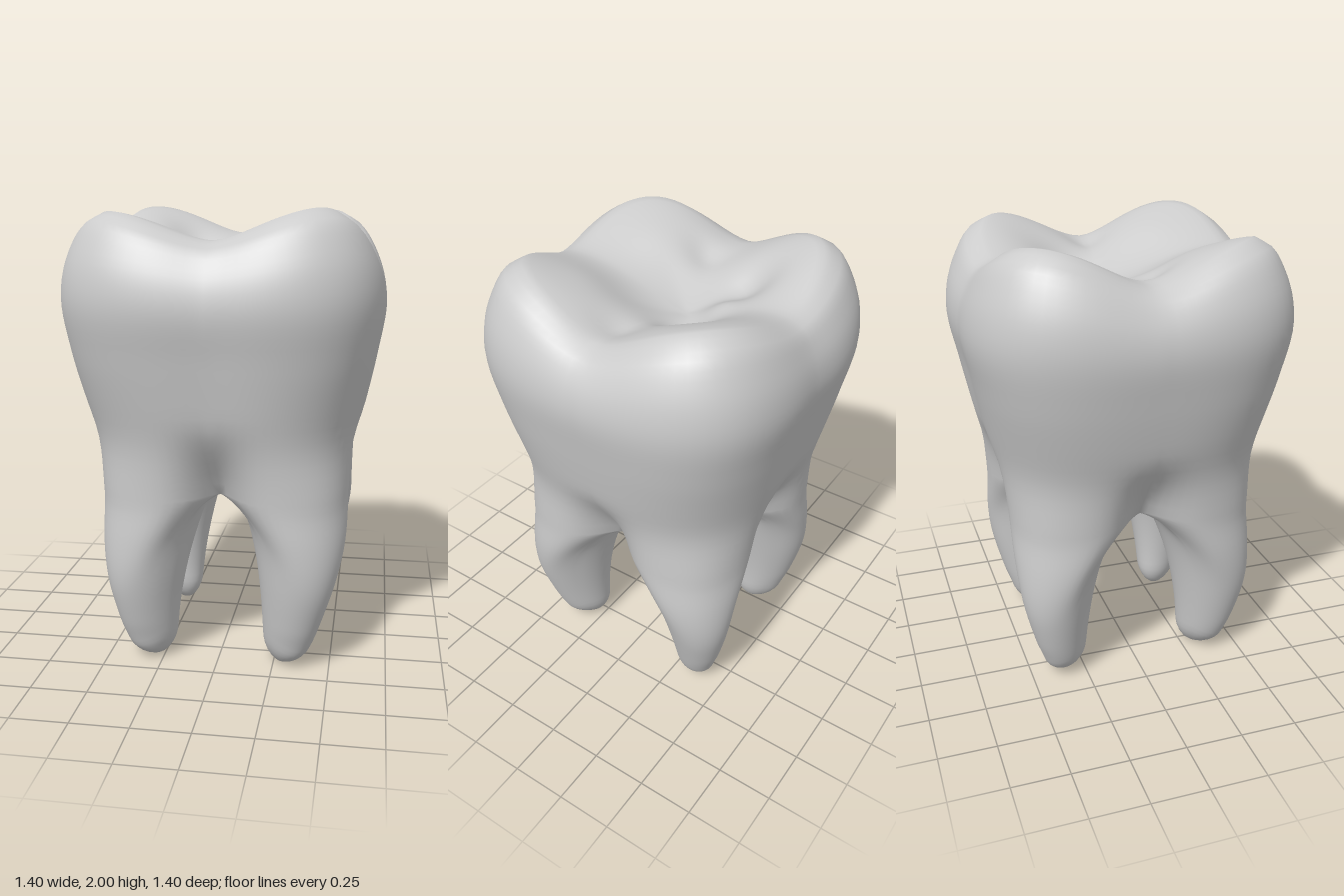
import * as THREE from 'three';
import { mergeVertices } from 'three/addons/utils/BufferGeometryUtils.js';

const { lerp, smoothstep, degToRad } = THREE.MathUtils;
const COLS = 24;      // columns across one quarter of the crown
const FORK = 0.79;    // height where the roots join the crown

// Half widths of the outer wall by height
const WIDTH = [[0, .365], [.1, .415], [.2, .45], [.4, .505], [.6, .545], [.8, .56], [1, .58], [1.2, .63],
  [1.4, .672], [1.6, .7], [1.75, .69], [1.88, .65], [1.96, .6], [2, .535]];
const DEPTH = [[0, .415], [.1, .445], [.2, .48], [.4, .53], [.6, .555], [.8, .567], [1, .59], [1.2, .632],
  [1.4, .672], [1.6, .708], [1.75, .697], [1.88, .655], [1.96, .61], [2, .545]];

// Squareness of the wall by height: roundest at the neck
const SQUARE = [[.75, 3.8], [1.05, 2.9], [1.4, 3.1], [1.7, 3.2], [2, 3.2]];

// Pits (negative) and ridges (positive) of the chewing surface: x, z, radius, height
const RELIEF = [[-.2, -.25, .1, -.05], [.16, -.15, .1, -.05], [-.33, .06, .08, -.035],
  [.42, 0, .09, -.035], [-.02, -.22, .08, .03], [-.25, .25, .13, .02], [.25, .25, .13, .02]];

// Smooth curve through a table of [height, value]
function sample(table, y) {
  const last = table.length - 1;
  let i = 0;
  while (i < last - 1 && y > table[i + 1][0]) i++;
  const slope = (k) => {
    const a = table[Math.max(k - 1, 0)], b = table[Math.min(k + 1, last)];
    return (b[1] - a[1]) / (b[0] - a[0]);
  };
  const [y0, v0] = table[i], [y1, v1] = table[i + 1];
  const h = y1 - y0, t = THREE.MathUtils.clamp((y - y0) / h, 0, 1), t2 = t * t, t3 = t2 * t;
  return v0 * (2 * t3 - 3 * t2 + 1) + v1 * (3 * t2 - 2 * t3)
    + h * (slope(i) * (t3 - 2 * t2 + t) + slope(i + 1) * (t3 - t2));
}

// Outer contour of a crown quarter, a rounded square with a groove above each fork
function contour(phi, y) {
  const c = Math.cos(phi), s = Math.sin(phi), n = sample(SQUARE, y);
  const near = (d) => Math.exp(-Math.pow(d / degToRad(13), 2));
  const depth = .34 * (1 - smoothstep(y, .68, 1.15));
  const k = 1 - depth * near(phi) - (depth + .02) * near(Math.PI / 2 - phi);
  const r = k * Math.pow(Math.pow(c, n) + Math.pow(s, n), -1 / n);
  return [c * r * sample(WIDTH, y), s * r * sample(DEPTH, y)];
}

// One root: rings from the tip up to the fork, where the inner half lies on the mid planes
function rootRows() {
  const rows = [], steps = 28, q = Math.PI / 4, skew = degToRad(7);
  const [forkX] = contour(0, FORK), forkZ = contour(Math.PI / 2, FORK)[1];
  for (let j = 0; j <= steps; j++) {
    const t = Math.pow(j / steps, 1.4), row = [];
    const rise = Math.sin(t * Math.PI / 2);
    const open = j === steps ? 0 : Math.pow(Math.cos(t * Math.PI / 2), 1.3);
    const tip = t < .1 ? Math.sqrt(1 - Math.pow(1 - t / .1, 2)) : 1;
    const blend = smoothstep(t, .4, 1);
    for (let i = 0; i <= 2 * COLS; i++) {
      const u = i / COLS, a = u * Math.PI - q;
      const outer = Math.max(0, Math.cos(a - q)), inner = Math.max(0, -Math.cos(a - q));
      const y = FORK * lerp(rise, t, outer) + .07 * inner * rise * rise;
      const wallY = Math.min(y, FORK);
      // Ring shape at the fork
      let fx, fz;
      if (u <= 1) [fx, fz] = contour(u * Math.PI / 2, FORK);
      else {
        fx = Math.max(0, (u - 1.5) * 2) * forkX;
        fz = Math.max(0, (1.5 - u) * 2) * forkZ;
      }
      const place = (unit, full, table, gap) => {
        const out = sample(table, wallY), inn = gap * open;
        const shape = lerp(unit, 2 * full / sample(table, FORK) - 1, blend);
        return (inn + out) / 2 + shape * tip * (out - inn) / 2;
      };
      // Below the fork the ring is an oval, longer towards the corner of the tooth
      row.push(j === steps ? [fx, y, fz]
        : [place(Math.cos(a - skew), fx, WIDTH, .2), y, place(Math.sin(a + skew), fz, DEPTH, .235)]);
    }
    rows.push(row);
  }
  return rows;
}

// One crown quarter: wall up to the cusps, then the chewing surface in to the centre
function crownRows(sx, sz) {
  const rows = [], wall = 28, cap = 18, basin = 1.74;
  const cusp = sx === sz ? 2 : 1.985;    // one diagonal pair of cusps stands higher
  const rim = (phi) => {
    const c = Math.cos(phi), dip = lerp(1.87, 1.84, c * c);
    return lerp(dip, cusp, Math.pow(Math.abs(Math.sin(2 * phi)), 1.7));
  };
  for (let j = 0; j <= wall + cap; j++) {
    const row = [];
    for (let i = 0; i <= COLS; i++) {
      const phi = i / COLS * Math.PI / 2, top = rim(phi);
      if (j <= wall) {
        const k = j / wall, level = FORK + (2 - FORK) * (1 - Math.pow(1 - k, 1.3));
        const [x, z] = contour(phi, level);
        const y = level < 1.4 ? level : level + (top - 2) * Math.pow((level - 1.4) / .6, 1.5);
        row.push([x, y, z]);
      } else {
        const f = 1 - (j - wall) / cap;
        const [ex, ez] = contour(phi, 2);
        const x = ex * f, z = ez * f - .06 * sz * (1 - f);
        const climb = lerp(smoothstep(f, 0, 1), Math.sin(f * Math.PI / 2), .25);
        let y = lerp(basin, lerp(1.92, top, f), climb);
        for (const [px, pz, r, h] of RELIEF) {
          const d2 = (x * sx - px) ** 2 + (z * sz - pz) ** 2;
          y += h * Math.exp(-d2 / (r * r)) * (1 - f ** 4);
        }
        row.push([x, y, z]);
      }
    }
    rows.push(row);
  }
  return rows;
}

// Adds a grid of quads, mirrored into the quarter given by sx and sz
function addGrid(out, rows, sx, sz) {
  const put = ([x, y, z]) => {
    const lean = .02 * Math.exp(-Math.pow((y - .65) / .38, 2));
    out.push(x * sx + lean, y, z * sz);
  };
  for (let j = 0; j < rows.length - 1; j++) {
    for (let i = 0; i < rows[j].length - 1; i++) {
      const a = rows[j][i], b = rows[j][i + 1], c = rows[j + 1][i], d = rows[j + 1][i + 1];
      const order = sx * sz > 0 ? [a, c, b, b, c, d] : [a, b, c, b, d, c];
      order.forEach(put);
    }
  }
}

export function createModel() {
  const group = new THREE.Group();
  group.name = 'molar';
  const positions = [], root = rootRows();

  // Four quarters, each with one root and a quarter of the crown
  for (const sx of [1, -1]) {
    for (const sz of [1, -1]) {
      addGrid(positions, root, sx, sz);
      addGrid(positions, crownRows(sx, sz), sx, sz);
    }
  }

  // Weld into one smooth skin
  let geometry = new THREE.BufferGeometry();
  geometry.setAttribute('position', new THREE.Float32BufferAttribute(positions, 3));
  geometry = mergeVertices(geometry, 1e-4);
  geometry.computeVertexNormals();

  const tooth = new THREE.Mesh(geometry, new THREE.MeshStandardMaterial({ color: 0xcccccc }));
  tooth.name = 'crownAndRoots';
  group.add(tooth);
  return group;
}
